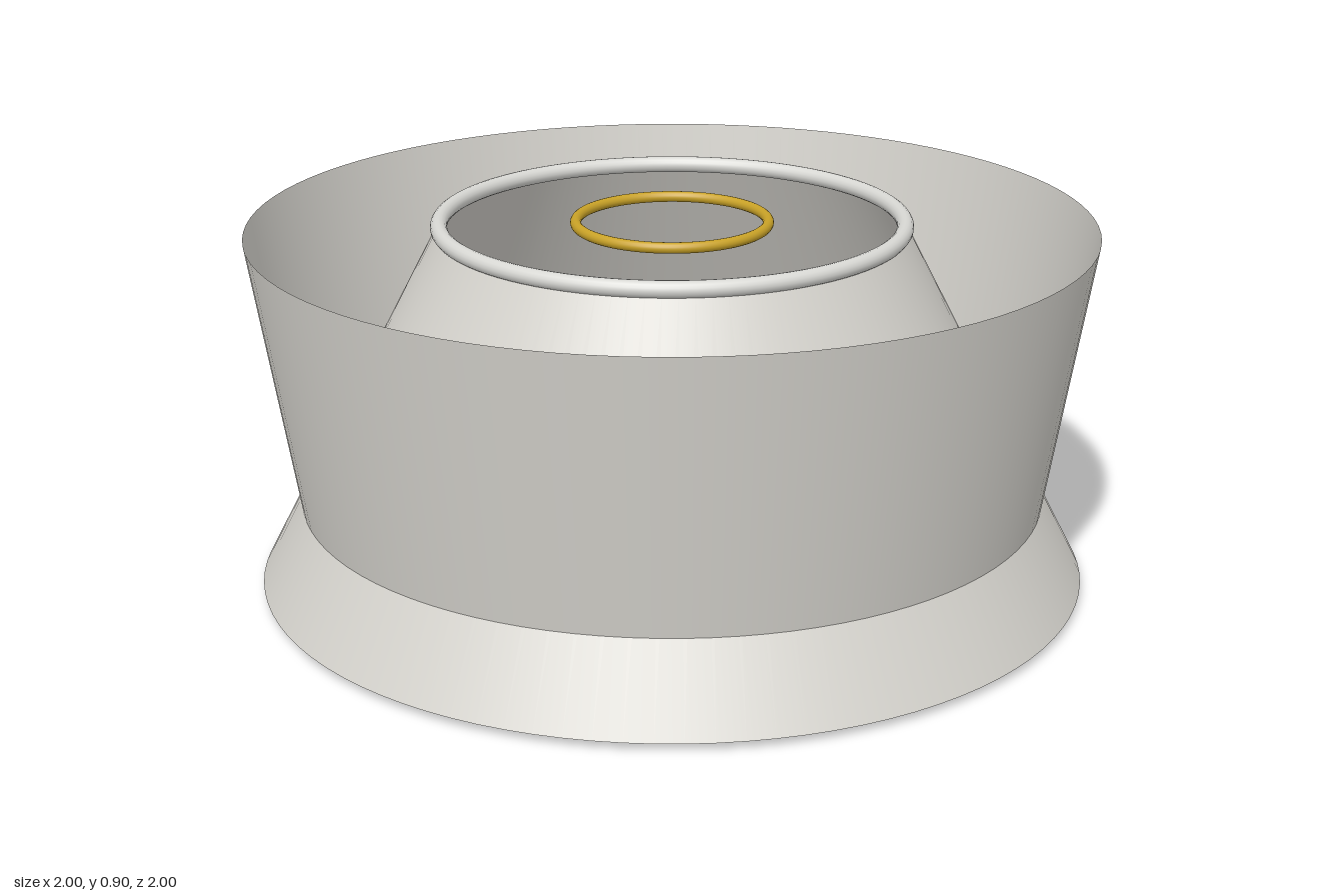
import * as THREE from 'three';

const SEGMENTS = 96;

export function createModel() {
  const model = new THREE.Group();
  model.name = 'doubleConeStand';

  const shell = new THREE.MeshStandardMaterial({ color: 0xd6d4ce, side: THREE.DoubleSide });
  shell.name = 'warm pale grey';
  const silver = new THREE.MeshStandardMaterial({ color: 0xd8d8d4 });
  silver.name = 'silver';
  const gold = new THREE.MeshStandardMaterial({ color: 0xc9a227 });
  gold.name = 'gold';

  const add = (name, geometry, material, y) => {
    const mesh = new THREE.Mesh(geometry, material);
    mesh.name = name;
    mesh.position.y = y;
    model.add(mesh);
  };

  // Open-ended conical shell between two heights
  const cone = (name, topRadius, bottomRadius, y0, y1) =>
    add(name, new THREE.CylinderGeometry(topRadius, bottomRadius, y1 - y0, SEGMENTS, 1, true),
      shell, (y0 + y1) / 2);

  // Horizontal ring
  const ring = (name, radius, tube, y, material) =>
    add(name, new THREE.TorusGeometry(radius, tube, 16, SEGMENTS).rotateX(Math.PI / 2), material, y);

  // Two crossing shells: the wall flares upward, the cone narrows upward
  cone('flaredWall', 1, 0.863, 0.019, 0.875);
  cone('innerCone', 0.55, 0.996, 0.019, 0.875);

  // Rim and floating rings
  ring('topRim', 0.548, 0.02, 0.876, silver);
  ring('upperRing', 0.227, 0.013, 0.876, gold);
  ring('lowerRing', 0.501, 0.013, 0.013, gold);

  return model;
}
